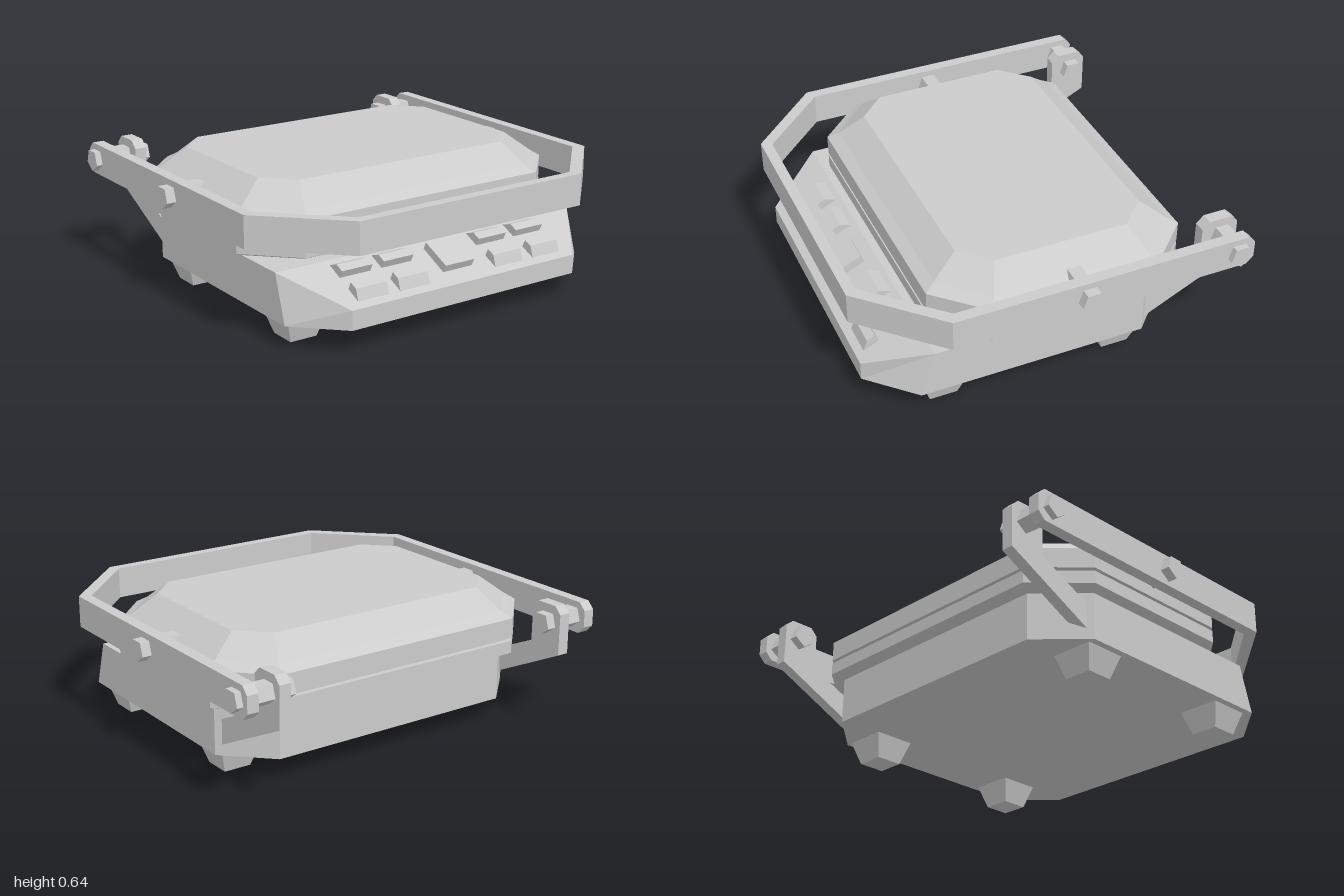
import * as THREE from 'three';

const material = new THREE.MeshStandardMaterial({ color: 0xcccccc, flatShading: true });

// Skin rings of equal point count; the ends are capped in strips.
function loft(rings) {
  const n = rings[0].length, out = [];
  const quad = (a, b, c, d) => out.push(...a, ...b, ...c, ...a, ...c, ...d);
  for (let r = 0; r < rings.length - 1; r++) {
    const a = rings[r], b = rings[r + 1];
    for (let i = 0; i < n; i++) {
      const j = (i + 1) % n;
      quad(a[i], a[j], b[j], b[i]);
    }
  }
  const first = rings[0], last = rings[rings.length - 1];
  for (let i = 0; i < n / 2 - 1; i++) {
    quad(last[i], last[i + 1], last[n - 2 - i], last[n - 1 - i]);
    quad(first[n - 1 - i], first[n - 2 - i], first[i + 1], first[i]);
  }
  const g = new THREE.BufferGeometry();
  g.setAttribute('position', new THREE.Float32BufferAttribute(out, 3));
  g.computeVertexNormals();
  return g;
}

// Complete a right-hand half outline with its mirror image.
const mirrored = (half) => [...half, ...half.map(([x, y, z]) => [-x, y, z]).reverse()];

// Chamfered rectangle: half sizes hx, hz, with flats of half length fx, fz.
const octagon = (y, hx, hz, fx, fz, zc = -0.065) => mirrored([
  [fx, y, zc + hz], [hx, y, zc + fz], [hx, y, zc - fz], [fx, y, zc - hz],
]);

// Extrude a (z, y) side profile across x, centred on x.
function sideProfile(points, width, x) {
  const shape = new THREE.Shape(points.map(([z, y]) => new THREE.Vector2(z, y)));
  const g = new THREE.ExtrudeGeometry(shape, { depth: width, bevelEnabled: false });
  return g.translate(0, 0, -width / 2).rotateY(-Math.PI / 2).translate(x, 0, 0);
}

// Five-sided pin along x, flat side up.
function pin(x0, x1, y, z) {
  const pts = [];
  for (let k = 0; k < 5; k++) {
    const a = -Math.PI / 2 + (k * Math.PI * 2) / 5;
    pts.push([z + 0.055 * Math.cos(a), y + 0.055 * Math.sin(a)]);
  }
  return sideProfile(pts, x1 - x0, (x0 + x1) / 2);
}

export function createModel() {
  const model = new THREE.Group();
  const add = (name, geometry) => {
    const mesh = new THREE.Mesh(geometry, material);
    mesh.name = name;
    model.add(mesh);
    return mesh;
  };

  // Base with sloping control panel at the front
  add('base', loft([
    mirrored([[0.62, 0.11, 0.86], [0.825, 0.11, 0.655], [0.825, 0.11, -0.43], [0.62, 0.11, -0.63]]),
    mirrored([[0.62, 0.2, 0.86], [0.825, 0.33, 0.585], [0.825, 0.33, -0.43], [0.62, 0.33, -0.63]]),
  ]));

  // Lower plate, seam and bevelled lid
  add('lowerPlate', loft([
    octagon(0.33, 0.82, 0.575, 0.625, 0.38),
    octagon(0.35, 0.865, 0.62, 0.65, 0.4),
    octagon(0.41, 0.865, 0.62, 0.65, 0.4),
  ]));
  add('plateSeam', loft([
    octagon(0.405, 0.84, 0.595, 0.635, 0.39),
    octagon(0.43, 0.84, 0.595, 0.635, 0.39),
  ]));
  add('lid', loft([
    octagon(0.425, 0.865, 0.62, 0.65, 0.4),
    octagon(0.52, 0.865, 0.62, 0.65, 0.4),
    octagon(0.55, 0.82, 0.57, 0.62, 0.375),
    octagon(0.645, 0.7, 0.45, 0.57, 0.32),
  ]));

  // U-shaped handle: cross-sections from the rear of one arm to the other
  const section = (xo, zo, xi, zi, y0, y1) =>
    [[xo, y0, zo], [xo, y1, zo], [xi, y1, zi], [xi, y0, zi]];
  const halfHandle = [
    [0.955, -0.9, 0.9, -0.9, 0.485, 0.565],
    [0.955, -0.865, 0.9, -0.865, 0.45, 0.6],
    [0.955, 0.555, 0.9, 0.53, 0.45, 0.6],
    [0.61, 0.9, 0.585, 0.85, 0.45, 0.6],
  ];
  const otherHalf = halfHandle.map(([xo, zo, xi, zi, a, b]) => [-xo, zo, -xi, zi, a, b]).reverse();
  add('handle', loft([...halfHandle, ...otherHalf].map((s) => section(...s))));

  // Rear brackets, hinge pins and lid pivots on both sides
  const bracket = [
    [-0.45, 0.16], [-0.45, 0.28], [-0.72, 0.405], [-0.72, 0.575],
    [-0.755, 0.61], [-0.865, 0.61], [-0.9, 0.575], [-0.9, 0.38],
  ].reverse();
  for (const [side, s] of [['left', 1], ['right', -1]]) {
    add(side + 'Bracket', sideProfile(bracket, 0.057, s * 0.773));
    add(side + 'HingePin', pin(Math.min(s * 0.7, s * 0.985), Math.max(s * 0.7, s * 0.985), 0.525, -0.82));
    add(side + 'LidPivot', pin(Math.min(s * 0.797, s), Math.max(s * 0.797, s), 0.525, -0.08));
  }

  // Buttons in two rows, plus the central switch
  const rearButton = [[0.6, 0.315], [0.68, 0.27], [0.703, 0.317], [0.663, 0.336]];
  const frontButton = [[0.745, 0.24], [0.826, 0.21], [0.806, 0.27], [0.768, 0.287]];
  for (const x of [-0.485, -0.265, 0.265, 0.485]) {
    add('rearButton', sideProfile(rearButton, 0.16, x));
    add('frontButton', sideProfile(frontButton, 0.16, x));
  }
  add('centreSwitch', sideProfile([[0.637, 0.3], [0.782, 0.234], [0.8, 0.271], [0.655, 0.339]], 0.16, 0));

  // Tapered square feet
  for (const x of [-0.69, 0.69]) {
    for (const z of [0.525, -0.33]) {
      const foot = new THREE.CylinderGeometry(0.102 * Math.SQRT2, 0.066 * Math.SQRT2, 0.11, 4);
      add('foot', foot.rotateY(Math.PI / 4).translate(x, 0.055, z));
    }
  }
  return model;
}
